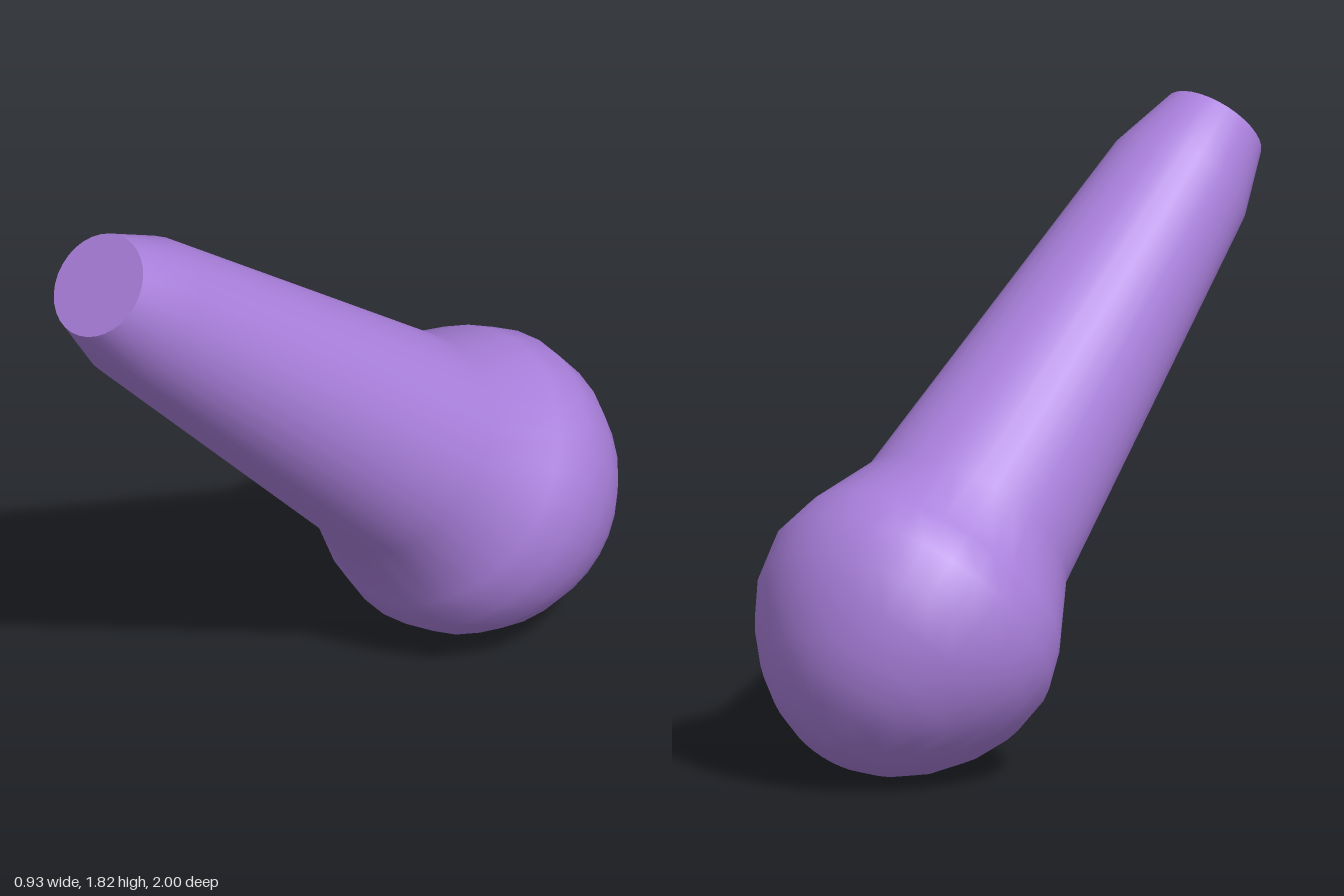
import * as THREE from 'three';

const SEGMENTS = 32;

export function createModel() {
  const model = new THREE.Group();
  model.name = 'tiltedKnob';
  const material = new THREE.MeshStandardMaterial({ color: 0xa97fdb });

  // Everything is turned about one axis that leans forward from the ball's centre
  const turned = new THREE.Group();
  turned.name = 'turnedBody';
  turned.position.set(0, 0.46, -0.54);
  turned.rotation.x = THREE.MathUtils.degToRad(49);
  model.add(turned);

  // Ball, tapered neck and chamfered tip: radius, distance along the axis
  const profile = [
    [0, -0.488], [0.075, -0.477], [0.16, -0.449], [0.243, -0.397], [0.319, -0.326],
    [0.394, -0.223], [0.445, -0.111], [0.464, 0.019], [0.433, 0.139],
    [0.339, 0.357], [0.22, 1.688], [0.16, 1.9],
  ].map(([r, t]) => new THREE.Vector2(r, t));
  const body = new THREE.Mesh(new THREE.LatheGeometry(profile, SEGMENTS), material);
  body.name = 'ballAndNeck';
  turned.add(body);

  // Flat end of the neck
  const cap = new THREE.Mesh(new THREE.CircleGeometry(0.16, SEGMENTS).rotateX(-Math.PI / 2), material);
  cap.name = 'tipCap';
  cap.position.y = 1.9;
  turned.add(cap);

  return model;
}
